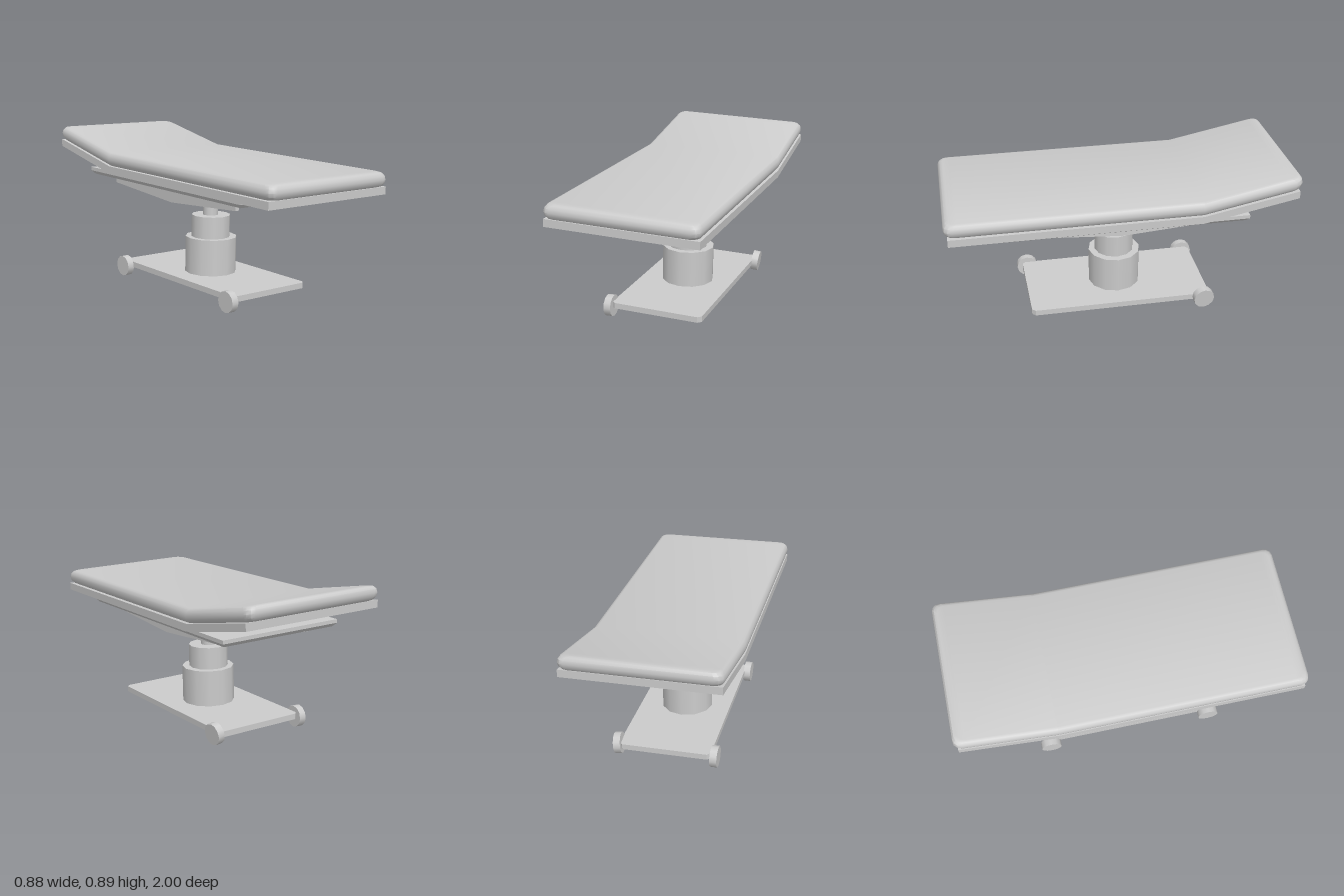
import * as THREE from 'three';
import { toCreasedNormals } from 'three/addons/utils/BufferGeometryUtils.js';

const TILT = -0.024; // the whole table leans slightly to its left
const BEND_Z = -0.43; // the head section rises behind this line
const RISE = 0.198;

// Slab from stacked rounded-rectangle outlines; layers are [inset, y] from bottom to top.
function slab(halfW, halfL, corner, steps, layers, rise = 0) {
  const pos = [], index = [];
  let n = 0;
  for (const [inset, y] of layers) {
    const w = halfW - inset, l = halfL - inset, half = [];
    for (let k = 0; k <= steps; k++) {
      const a = steps ? (k / steps) * Math.PI / 2 : 0;
      half.push([w - corner + corner * Math.sin(a), l - corner + corner * Math.cos(a)]);
    }
    const back = half.map(([x, z]) => [x, -z]).reverse();
    half.push([w, BEND_Z], ...back);
    n = half.length;
    const ring = [...half, ...half.map(([x, z]) => [-x, z]).reverse()];
    for (const [x, z] of ring) pos.push(x, y + rise * Math.max(0, BEND_Z - z), z);
  }
  const m = 2 * n;
  const quad = (a, b, c, d) => index.push(a, b, c, a, c, d);
  for (let r = 0; r < layers.length - 1; r++) {
    for (let i = 0; i < m; i++) {
      const j = (i + 1) % m, lo = r * m, hi = lo + m;
      quad(lo + i, lo + j, hi + j, hi + i);
    }
  }
  // caps are strips between mirrored outline points
  const top = (layers.length - 1) * m;
  for (let j = 0; j < n - 1; j++) {
    quad(top + j, top + j + 1, top + m - 2 - j, top + m - 1 - j);
    quad(m - 1 - j, m - 2 - j, j + 1, j);
  }
  const geo = new THREE.BufferGeometry();
  geo.setAttribute('position', new THREE.Float32BufferAttribute(pos, 3));
  geo.setIndex(index);
  return toCreasedNormals(geo, 0.6);
}

export function createModel() {
  const root = new THREE.Group();
  root.name = 'examinationTable';
  root.rotation.y = 0.012;
  const material = new THREE.MeshStandardMaterial({ color: 0xcccccc });

  function add(name, geometry, x, y, z, tilt = TILT) {
    const mesh = new THREE.Mesh(geometry, material);
    mesh.name = name;
    mesh.position.set(x, y, z);
    mesh.rotation.z = tilt;
    root.add(mesh);
    return mesh;
  }

  // padded top with half-round edges and raised head end
  const padLayers = [];
  for (let i = 0; i <= 6; i++) {
    const a = -Math.PI / 2 + (i / 6) * Math.PI;
    padLayers.push([0.03 * (1 - Math.cos(a)), 0.041 * Math.sin(a)]);
  }
  add('mattress', slab(0.43, 0.995, 0.045, 3, padLayers, RISE), -0.002, 0.7365, 0);

  // board under the mattress, following the same bend
  add('mattressBoard', slab(0.427, 0.975, 0, 0, [[0, -0.021], [0, 0.022]], RISE), -0.002, 0.674, 0);

  // under frame with chamfered lower edge
  add('underFrame', slab(0.38, 0.71, 0, 0, [[0.02, -0.021], [0, 0], [0, 0.021]]), 0, 0.634, 0);

  // side rails, deepest in the middle
  const railShape = new THREE.Shape([
    [-0.565, 0.625], [-0.565, 0.577], [0, 0.537], [0.565, 0.577], [0.565, 0.625],
  ].map(([z, y]) => new THREE.Vector2(z, y)));
  const railGeo = new THREE.ExtrudeGeometry(railShape, { depth: 0.026, bevelEnabled: false });
  railGeo.translate(0, 0, -0.013).rotateY(Math.PI / 2);
  for (const side of [-1, 1]) add(side > 0 ? 'leftRail' : 'rightRail', railGeo, side * 0.277, 0, 0, 0);

  // telescopic column: [name, radius, bottom, top]
  for (const [name, r, y0, y1] of [
    ['columnBase', 0.153, 0.078, 0.3],
    ['columnSleeve', 0.115, 0.295, 0.43],
    ['columnPole', 0.045, 0.425, 0.565],
    ['columnCollar', 0.11, 0.557, 0.62],
  ]) {
    add(name, new THREE.CylinderGeometry(r, r, y1 - y0, 12), 0, (y0 + y1) / 2, 0);
  }

  // floor plate
  add('basePlate', slab(0.268, 0.53, 0.02, 1, [[0, -0.0165], [0, 0.0165]]), 0.002, 0.07, 0);

  // three wheels; the front left corner has none
  const wheelGeo = new THREE.CylinderGeometry(0.062, 0.062, 0.041, 12).rotateZ(Math.PI / 2);
  for (const [name, x, z, lean, yaw] of [
    ['frontRightWheel', -0.282, 0.5, 0, 0],
    ['backRightWheel', -0.285, -0.49, 0, 0],
    ['backLeftWheel', 0.281, -0.49, -0.12, 0.08],
  ]) {
    add(name, wheelGeo, x, 0.063, z, lean).rotation.y = yaw;
  }

  return root;
}
